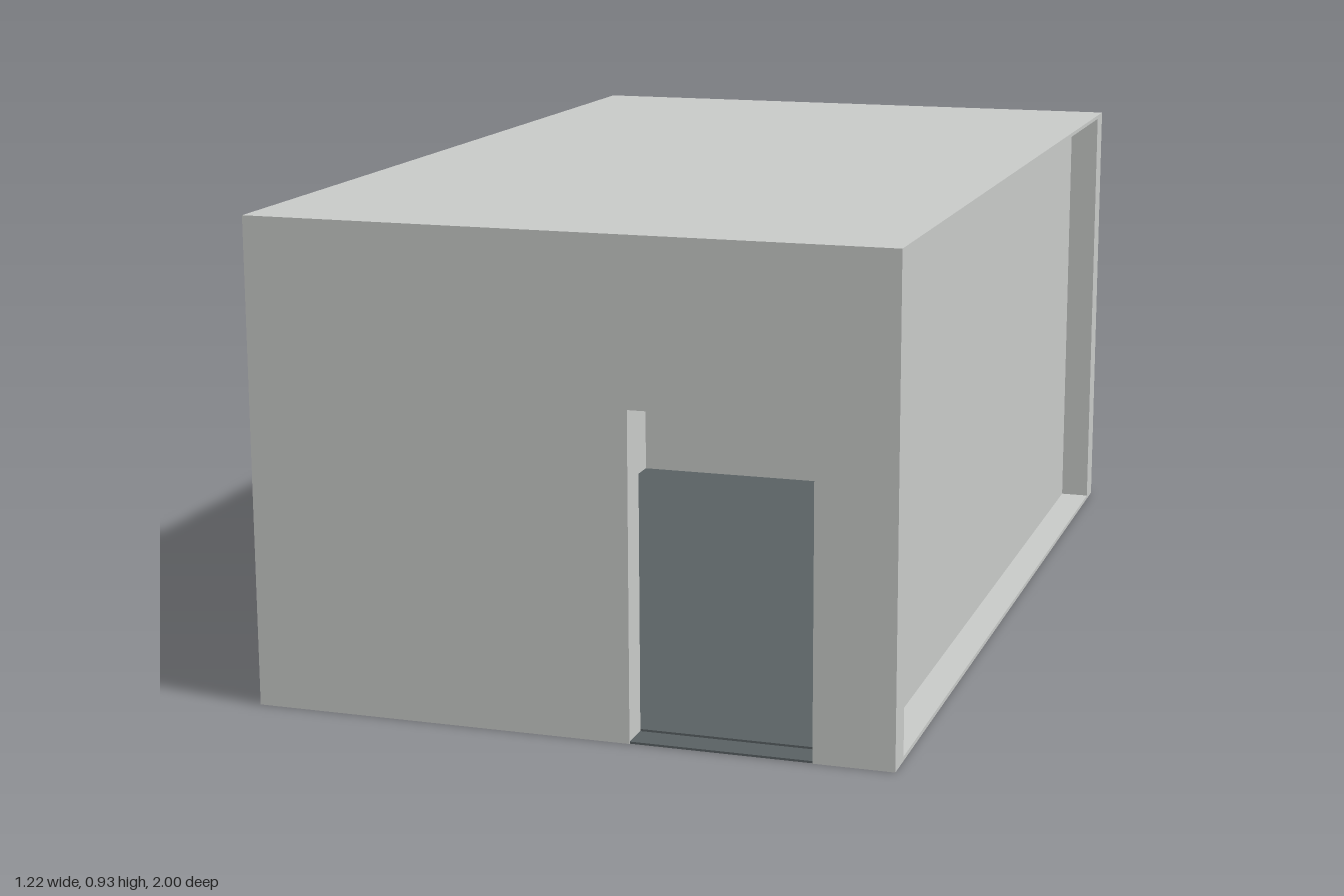
import * as THREE from 'three';

const wallMat = new THREE.MeshStandardMaterial({ color: 0xc8cac8 });
wallMat.name = 'pale grey';
const floorMat = new THREE.MeshStandardMaterial({ color: 0x596163 });
floorMat.name = 'slate floor';
const darkMat = new THREE.MeshStandardMaterial({ color: 0x2c3031 });
darkMat.name = 'charcoal';

const W = 0.61, D = 1, H = 0.925; // half width, half depth, height
const T = 0.06; // post and wall thickness
const SLAB = 0.008;

export function createModel() {
  const model = new THREE.Group();

  // box given by its minimum and maximum corners
  function box(name, mat, x0, x1, y0, y1, z0, z1) {
    const mesh = new THREE.Mesh(new THREE.BoxGeometry(x1 - x0, y1 - y0, z1 - z0), mat);
    mesh.position.set((x0 + x1) / 2, (y0 + y1) / 2, (z0 + z1) / 2);
    mesh.name = name;
    model.add(mesh);
  }

  const top = H - SLAB;

  // roof and floor
  box('roof', wallMat, -W, W, top, H, -D, D);
  box('floor', floorMat, -W + T, W - T, 0, SLAB, -D + T, D - T);
  box('frontSill', floorMat, -W, W, 0, SLAB / 2, D - T, D - 0.002);
  box('backSillTop', floorMat, -W + T, W - T, SLAB / 2, SLAB, -D, -D + T);
  box('backSillUnderside', wallMat, -W + T, W - T, 0, SLAB / 2, -D, -D + T);
  box('rightSill', wallMat, W - T, W, 0, SLAB, -D + T, D - T);
  box('leftSillTop', wallMat, -W, -W + T, SLAB / 2, SLAB, -D + T, D - T);
  box('leftSillUnderside', floorMat, -W, -W + T, 0, SLAB / 2, -D + T, D - T);

  // front wall with the doorway notched out of its lower edge
  const outline = new THREE.Shape();
  [[-W, 0], [0.12, 0], [0.12, 0.615], [0.46, 0.615], [0.46, 0], [W, 0], [W, top], [-W, top]]
    .forEach(([x, y], i) => (i ? outline.lineTo(x, y) : outline.moveTo(x, y)));
  const front = new THREE.Mesh(
    new THREE.ExtrudeGeometry(outline, { depth: T, bevelEnabled: false }), wallMat);
  front.position.z = D - T;
  front.name = 'frontWall';
  model.add(front);

  // back corner posts
  for (const s of [-1, 1]) {
    const x = s * (W - T / 2);
    box('backPost', wallMat, x - T / 2, x + T / 2, 0, top, -D, -D + T);
  }

  // recessed walls; one side has a thicker lower half
  const inner = W - 2 * T;
  box('rightWall', wallMat, inner, W - T, SLAB, top, -D + T, D - T);
  box('leftWallLower', wallMat, -W + T, -inner, SLAB, 0.575, -D + T, D - T);
  box('leftWallUpper', wallMat, -W + T + 0.013, -inner, 0.575, top, -D + T, D - T);
  box('backWall', wallMat, -W + T, W - T, SLAB, top, -D + T, -D + 2 * T);

  // door panel standing proud of the back wall on both faces, with its dark seal
  box('backDoorPanel', wallMat, 0.395, W - T, 0.006, 0.555, -0.98, -0.86);
  box('doorSeal', darkMat, 0.386, 0.395, 0.05, 0.55, -0.965, -0.865);

  return model;
}
